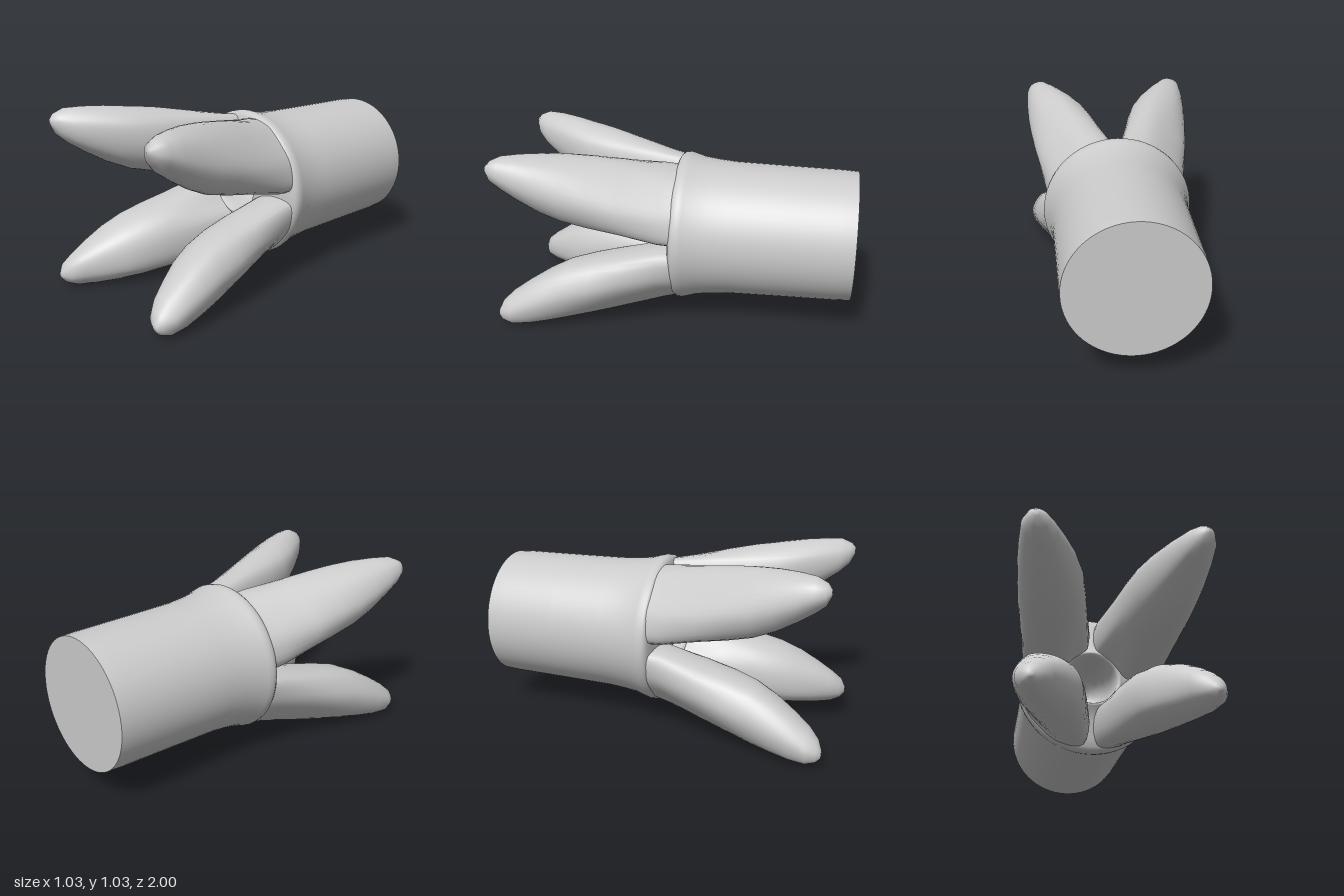
import * as THREE from 'three';

const AXIS_Y = 0.518; // height of the long axis

// Smooth closed cross-section of a petal, symmetric about its diagonal
function section([z, c, bx, by, cx, cy, ex, ey, d], n) {
  const half = [[by, bx], [cy, cx], [ey, ex]];
  const pts = [[c, c], ...half, [d, d], ...half.map(([x, y]) => [y, x]).reverse()];
  const curve = new THREE.CatmullRomCurve3(pts.map(([x, y]) => new THREE.Vector3(x, y, z)), true, 'centripetal');
  return Array.from({ length: n }, (_, k) => curve.getPoint(k / n));
}

// Skin the cross-sections and close the tip
function petalGeometry() {
  // z, inner edge, side point, outer corner, outer shoulder, outer edge
  const rows = [
    [-0.05, 0.115, 0.02, 0.20, 0.035, 0.385, 0.17, 0.37, 0.288],
    [0.08, 0.115, 0.028, 0.20, 0.045, 0.395, 0.18, 0.40, 0.305],
    [0.30, 0.13, 0.07, 0.23, 0.095, 0.41, 0.22, 0.45, 0.36],
    [0.46, 0.155, 0.105, 0.26, 0.125, 0.42, 0.26, 0.48, 0.40],
    [0.60, 0.19, 0.14, 0.29, 0.16, 0.43, 0.29, 0.498, 0.435],
    [0.72, 0.235, 0.195, 0.33, 0.21, 0.44, 0.33, 0.51, 0.46],
    [0.83, 0.29, 0.26, 0.36, 0.275, 0.45, 0.37, 0.514, 0.48],
    [0.92, 0.34, 0.32, 0.39, 0.335, 0.455, 0.41, 0.512, 0.487],
    [0.975, 0.385, 0.37, 0.42, 0.38, 0.46, 0.425, 0.488, 0.475],
    [1.0, 0.428, 0.424, 0.438, 0.427, 0.45, 0.44, 0.46, 0.457],
  ];
  const n = 40, pos = [], index = [];
  for (const row of rows) for (const p of section(row, n)) pos.push(p.x, p.y, p.z);
  for (let j = 0; j < rows.length - 1; j++) {
    for (let k = 0; k < n; k++) {
      const a = j * n + k, b = j * n + (k + 1) % n;
      index.push(a, b, b + n, a, b + n, a + n);
    }
  }
  const tip = rows.length * n, last = tip - n;
  pos.push(0.443, 0.443, 1);
  for (let k = 0; k < n; k++) index.push(last + k, last + (k + 1) % n, tip);
  const g = new THREE.BufferGeometry();
  g.setAttribute('position', new THREE.Float32BufferAttribute(pos, 3));
  g.setIndex(index);
  g.computeVertexNormals();
  return g;
}

export function createModel() {
  const model = new THREE.Group();
  model.name = 'petalledTube';
  const material = new THREE.MeshStandardMaterial({ color: 0xcccccc });

  function lathe(name, profile) {
    const pts = profile.map(([r, z]) => new THREE.Vector2(r, z));
    const mesh = new THREE.Mesh(new THREE.LatheGeometry(pts, 64).rotateX(Math.PI / 2), material);
    mesh.name = name;
    mesh.position.y = AXIS_Y;
    model.add(mesh);
  }

  // Flat back end
  lathe('backCap', [[0, -1], [0.37, -1]]);

  // Body with flared collar, front face, raised rim and round-ended socket
  lathe('body', [
    [0.37, -1], [0.375, -0.92], [0.38, -0.6], [0.386, -0.3], [0.395, -0.2], [0.406, -0.12],
    [0.424, -0.06], [0.43, -0.035], [0.428, -0.012], [0.418, 0.003], [0.402, 0.012], [0.36, 0.025],
    [0.25, 0.04], [0.19, 0.062], [0.172, 0.078], [0.16, 0.078], [0.15, 0.062], [0.145, 0.02],
    [0.14, -0.06], [0.125, -0.13], [0.1, -0.18], [0.065, -0.215], [0.03, -0.23], [0, -0.235],
  ]);

  // Four petals on the diagonals
  const geometry = petalGeometry();
  for (let i = 0; i < 4; i++) {
    const petal = new THREE.Mesh(geometry, material);
    petal.name = 'petal' + (i + 1);
    petal.position.y = AXIS_Y;
    petal.rotation.z = i * Math.PI / 2;
    model.add(petal);
  }
  return model;
}
